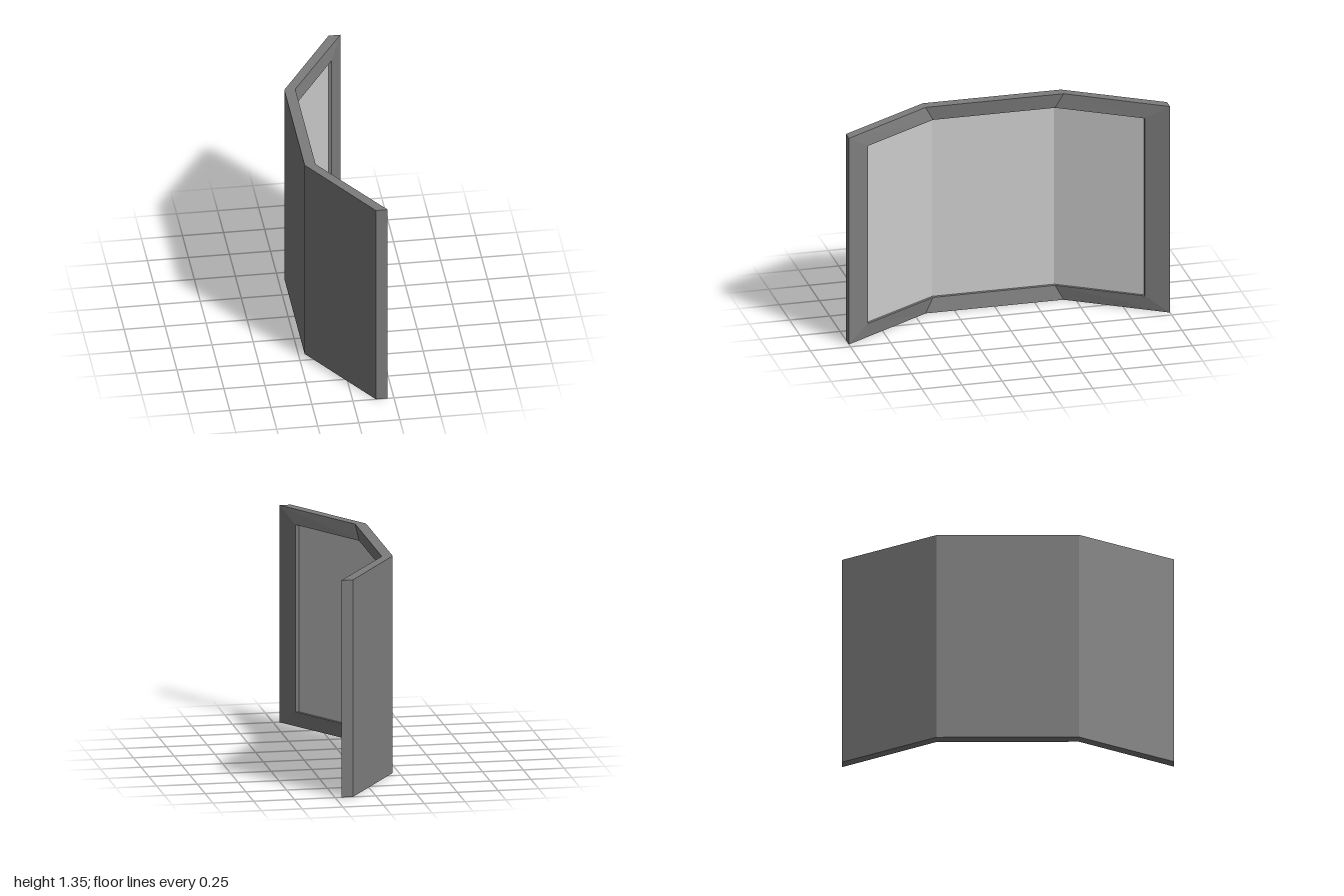
import * as THREE from 'three';

// Closed loop of 8 corners: along the folded bottom edge, then back along the top
function ring(foldX, endX, foldZ, endZ, y0, y1) {
  const plan = [[endX, -endZ], [foldX, -foldZ], [foldX, foldZ], [endX, endZ]];
  const bottom = plan.map(([x, z]) => new THREE.Vector3(x, y0, z));
  const top = plan.map(([x, z]) => new THREE.Vector3(x, y1, z)).reverse();
  return [...bottom, ...top];
}

// Four-cornered faces, split and unshared so every edge stays sharp
function facesGeometry(quads) {
  const points = quads.flatMap(([a, b, c, d]) => [a, b, c, a, c, d]);
  const geometry = new THREE.BufferGeometry().setFromPoints(points);
  geometry.computeVertexNormals();
  return geometry;
}

// Faces between two neighbouring rings
const band = (a, b) => a.map((p, i) => {
  const j = (i + 1) % a.length;
  return [p, b[i], b[j], a[j]];
});

// Three upright faces filling a ring, facing +x or -x
const fill = (r, facing) => [0, 1, 2].map((i) => {
  const quad = [r[i], r[7 - i], r[6 - i], r[i + 1]];
  return facing > 0 ? quad : quad.reverse();
});

export function createModel() {
  const group = new THREE.Group();
  const height = 1.345;

  const back = ring(-0.212, 0.14, 0.43, 1, 0, height);
  const rim = ring(-0.145, 0.212, 0.43, 1, 0, height);
  const lip = ring(-0.16, 0.138, 0.38, 0.862, 0.093, height - 0.093);
  const recess = lip.map((p) => p.clone().setX(p.x - 0.02));

  // Folded frame with back, outer edge, sloping border and inner step
  const frame = new THREE.Mesh(
    facesGeometry([
      ...fill(back, -1),
      ...band(back, rim),
      ...band(rim, lip),
      ...band(lip, recess),
    ]),
    new THREE.MeshStandardMaterial({ color: 0x7d7d7d, flatShading: true }),
  );
  frame.name = 'frame';

  // Three-part panel set into the frame
  const panel = new THREE.Mesh(
    facesGeometry(fill(recess, 1)),
    new THREE.MeshStandardMaterial({ color: 0xcccccc, flatShading: true }),
  );
  panel.name = 'foldedPanel';

  group.add(frame, panel);
  return group;
}
